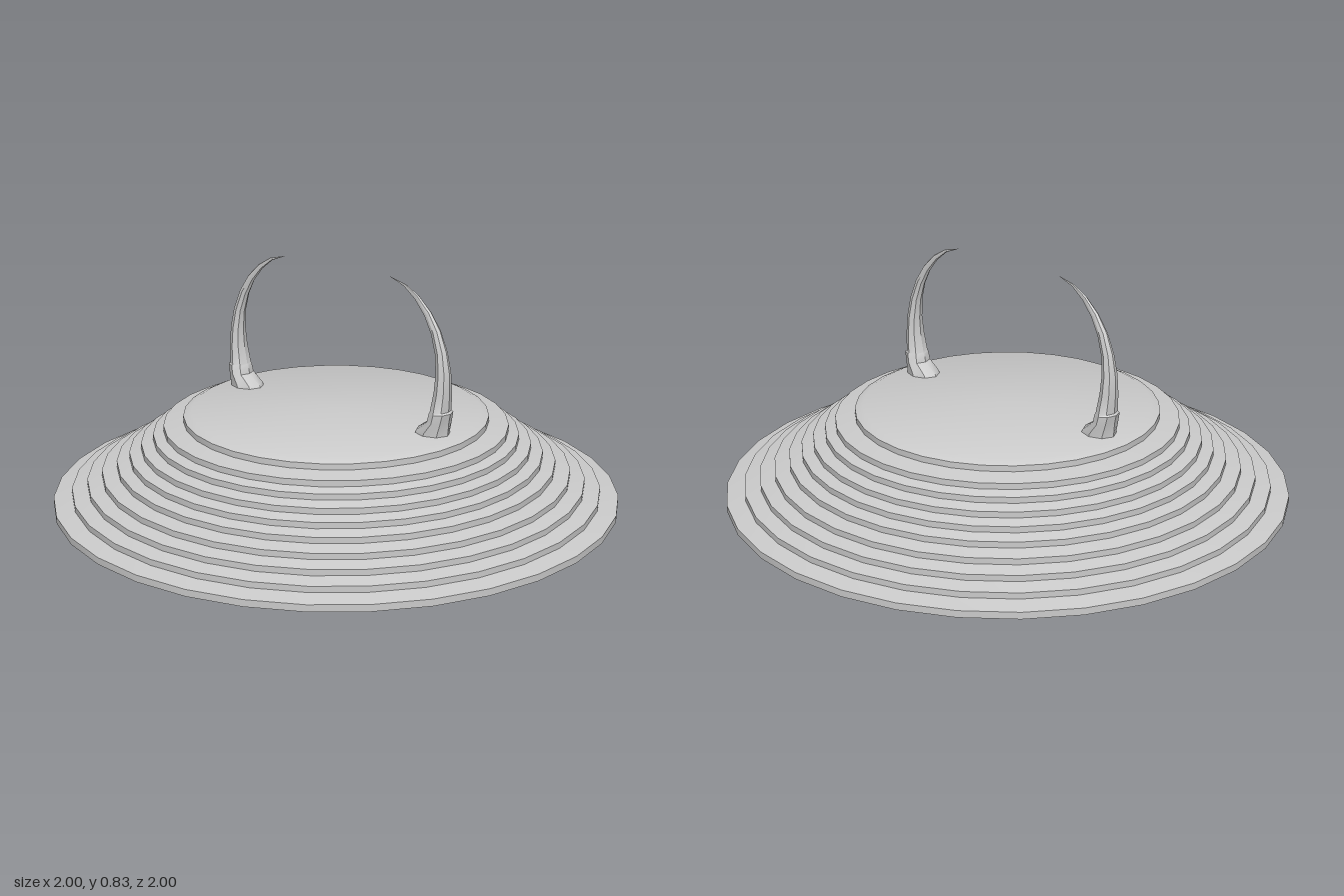
import * as THREE from 'three';
import { toCreasedNormals } from 'three/addons/utils/BufferGeometryUtils.js';

const material = new THREE.MeshStandardMaterial({ color: 0xcccccc });

// Round stepped plinth: each tier is a short riser and a slightly sloping tread
function steppedBase() {
  const radii = [1, 0.935, 0.88, 0.828, 0.775, 0.73, 0.688, 0.645, 0.608, 0.538];
  const rise = 0.0315;
  const profile = [new THREE.Vector2(0, 0)];
  radii.forEach((r, i) => {
    profile.push(new THREE.Vector2(r, i === 0 ? 0 : i * rise + 0.003));
    profile.push(new THREE.Vector2(r, i * rise + 0.024));
  });
  profile.push(new THREE.Vector2(0.51, 0.32), new THREE.Vector2(0, 0.322));
  return toCreasedNormals(new THREE.LatheGeometry(profile, 32), 0.5);
}

// Horn on the +x side, lofted through oval sections:
// [outer x, outer y, inner x, inner y, half depth]
function hornGeometry() {
  const sections = [
    [0.482, 0.31, 0.352, 0.31, 0.055],
    [0.483, 0.33, 0.360, 0.33, 0.054],
    [0.486, 0.37, 0.408, 0.365, 0.049],
    [0.492, 0.40, 0.414, 0.395, 0.046],
    [0.484, 0.405, 0.418, 0.40, 0.043],
    [0.487, 0.47, 0.431, 0.47, 0.036],
    [0.484, 0.54, 0.435, 0.53, 0.029],
    [0.470, 0.61, 0.429, 0.60, 0.022],
    [0.443, 0.68, 0.409, 0.665, 0.016],
    [0.405, 0.737, 0.379, 0.722, 0.011],
    [0.355, 0.785, 0.338, 0.772, 0.007],
    [0.300, 0.817, 0.292, 0.809, 0.004],
    [0.234, 0.833, 0.234, 0.832, 0.0005],
  ];
  const sides = 8;
  const positions = [];
  const index = [];
  sections.forEach(([ox, oy, ix, iy, depth], row) => {
    for (let j = 0; j < sides; j++) {
      const a = (j / sides) * Math.PI * 2;
      const t = (1 + Math.cos(a)) / 2;
      positions.push(ix + (ox - ix) * t, iy + (oy - iy) * t, depth * Math.sin(a));
      if (row === sections.length - 1) continue;
      const p = row * sides + j;
      const q = row * sides + ((j + 1) % sides);
      index.push(p, p + sides, q, q, p + sides, q + sides);
    }
  });
  const geometry = new THREE.BufferGeometry();
  geometry.setAttribute('position', new THREE.Float32BufferAttribute(positions, 3));
  geometry.setIndex(index);
  return toCreasedNormals(geometry, 0.6);
}

export function createModel() {
  const model = new THREE.Group();
  model.name = 'hornedPlinth';

  const base = new THREE.Mesh(steppedBase(), material);
  base.name = 'steppedBase';
  model.add(base);

  // The horn is symmetric in z, so a half turn gives its opposite
  const horn = hornGeometry();
  ['leftHorn', 'rightHorn'].forEach((name, i) => {
    const mesh = new THREE.Mesh(horn, material);
    mesh.name = name;
    mesh.rotation.y = i * Math.PI;
    model.add(mesh);
  });
  return model;
}
